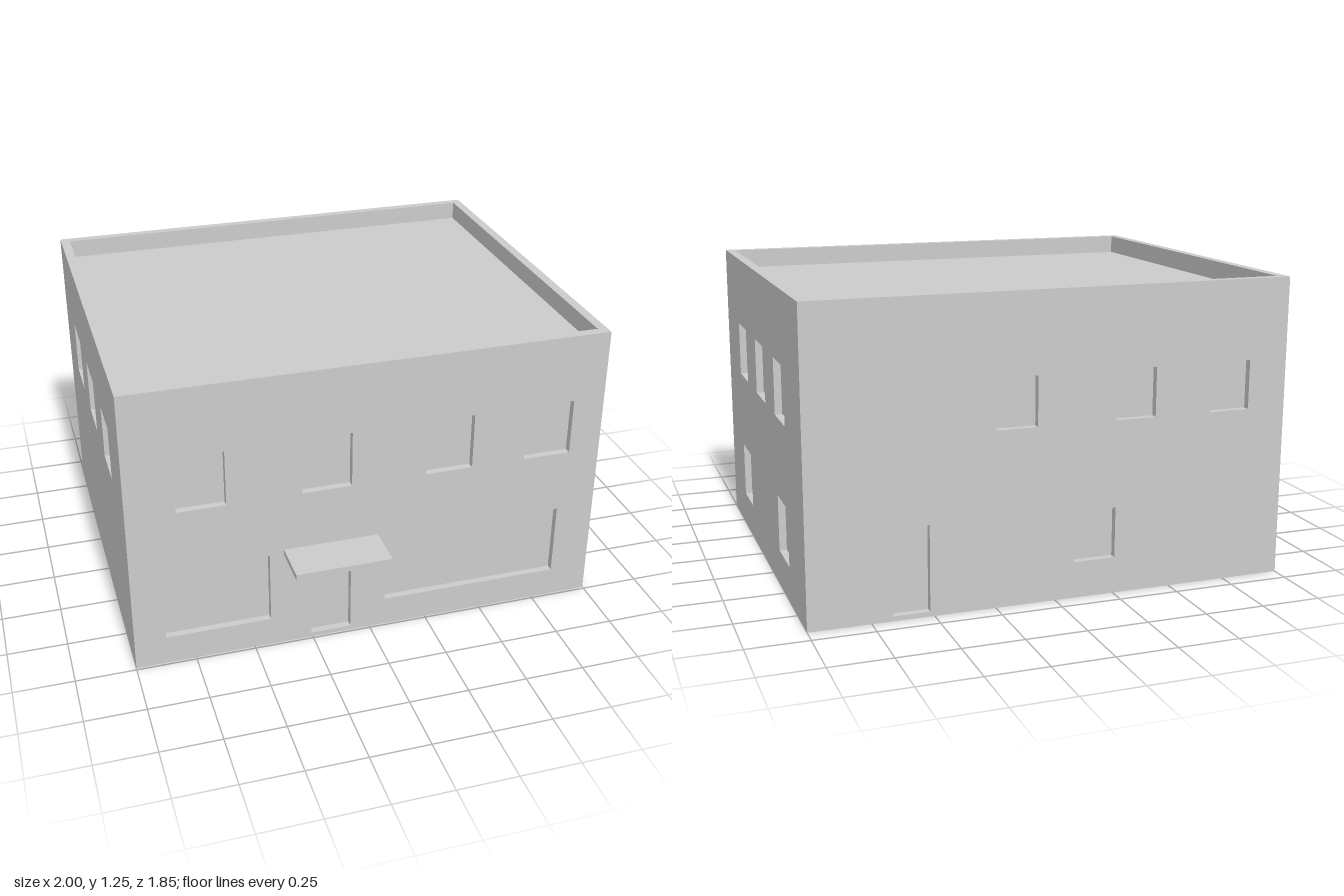
import * as THREE from 'three';

const W = 1, FRONT = 0.74, BACK = -0.925, H = 1.25, DECK = 1.17, RECESS = 0.03;
const material = new THREE.MeshStandardMaterial({ color: 0xcccccc, side: THREE.DoubleSide });

function addMesh(parent, name, geometry) {
  const mesh = new THREE.Mesh(geometry, material);
  mesh.name = name;
  parent.add(mesh);
  return mesh;
}

function rect(PathType, x0, x1, y0, y1) {
  const p = new PathType();
  p.moveTo(x0, y0).lineTo(x1, y0).lineTo(x1, y1).lineTo(x0, y1).closePath();
  return p;
}

// Inward-facing box with its front open: the reveals and pane of an opening
function pocket(x0, x1, y0, y1) {
  const geo = new THREE.BoxGeometry(x1 - x0, y1 - y0, RECESS);
  const index = Array.from(geo.index.array);
  index.splice(24, 6);
  geo.setIndex(index.reverse());
  geo.computeVertexNormals();
  return geo.translate((x0 + x1) / 2, (y0 + y1) / 2, -RECESS / 2);
}

// Thin wall in its own plane, seen from outside; openings are [name, x0, x1, y0, y1]
function makeWall(name, x0, x1, distance, turn, openings) {
  const wall = new THREE.Group();
  wall.name = name;
  wall.rotation.y = turn;
  const shape = rect(THREE.Shape, x0, x1, 0, H);
  for (const [part, ...r] of openings) {
    shape.holes.push(rect(THREE.Path, ...r));
    addMesh(wall, part, pocket(...r)).position.z = distance;
  }
  addMesh(wall, name + 'Surface', new THREE.ShapeGeometry(shape)).position.z = distance;
  return wall;
}

const row = (name, spans, y0, y1) => spans.map(([a, b]) => [name, a, b, y0, y1]);

export function createModel() {
  const building = new THREE.Group();
  building.name = 'building';

  // Front: shop windows, door and four upper windows
  building.add(makeWall('frontWall', -W, W, FRONT, 0, [
    ...row('upperWindow', [[-0.8, -0.6], [-0.29, -0.085], [0.23, 0.43], [0.66, 0.865]], 0.715, 0.957),
    ...row('shopWindow', [[-0.87, -0.43], [0.065, 0.835]], 0.128, 0.443),
    ['frontDoor', -0.257, -0.085, 0.02, 0.375],
  ]));

  // Back: local x runs towards -x
  building.add(makeWall('backWall', -W, W, -BACK, Math.PI, [
    ...row('upperWindow', [[-0.25, -0.08], [0.25, 0.42], [0.665, 0.835]], 0.717, 0.92),
    ['lowerWindow', 0.08, 0.255, 0.15, 0.36],
    ['backDoor', -0.667, -0.518, 0.02, 0.37],
  ]));

  // Sides: local x runs towards -z on one side and +z on the other
  const bays = [[-0.43, -0.23], [-0.01, 0.195], [0.405, 0.61]];
  const mirrored = bays.map(([a, b]) => [-b, -a]);
  building.add(makeWall('leftWall', -FRONT, -BACK, W, Math.PI / 2, [
    ...row('upperWindow', bays, 0.72, 0.953),
    ...row('lowerWindow', [bays[0], bays[2]], 0.15, 0.386),
  ]));
  building.add(makeWall('rightWall', BACK, FRONT, W, -Math.PI / 2,
    row('upperWindow', mirrored, 0.72, 0.953)));

  // Parapet rim, laid flat on top of the walls
  const inX = 0.96, inBack = -0.888, inFront = 0.698;
  const rim = rect(THREE.Shape, -W, W, -FRONT, -BACK);
  rim.holes.push(rect(THREE.Path, -inX, inX, -inFront, -inBack));
  addMesh(building, 'parapetRim', new THREE.ShapeGeometry(rim).rotateX(-Math.PI / 2).translate(0, H, 0));

  // Parapet inner faces and roof deck: a shallow tray open at the top
  const tray = new THREE.BoxGeometry(inX * 2, H - DECK, inFront - inBack);
  const index = Array.from(tray.index.array);
  index.splice(12, 6);
  tray.setIndex(index.reverse());
  tray.computeVertexNormals();
  addMesh(building, 'roofDeck', tray).position.set(0, (H + DECK) / 2, (inFront + inBack) / 2);

  // Canopy over the front door
  addMesh(building, 'doorCanopy', new THREE.BoxGeometry(0.4, 0.024, 0.925 - FRONT))
    .position.set(-0.17, 0.45, (0.925 + FRONT) / 2);

  return building;
}
